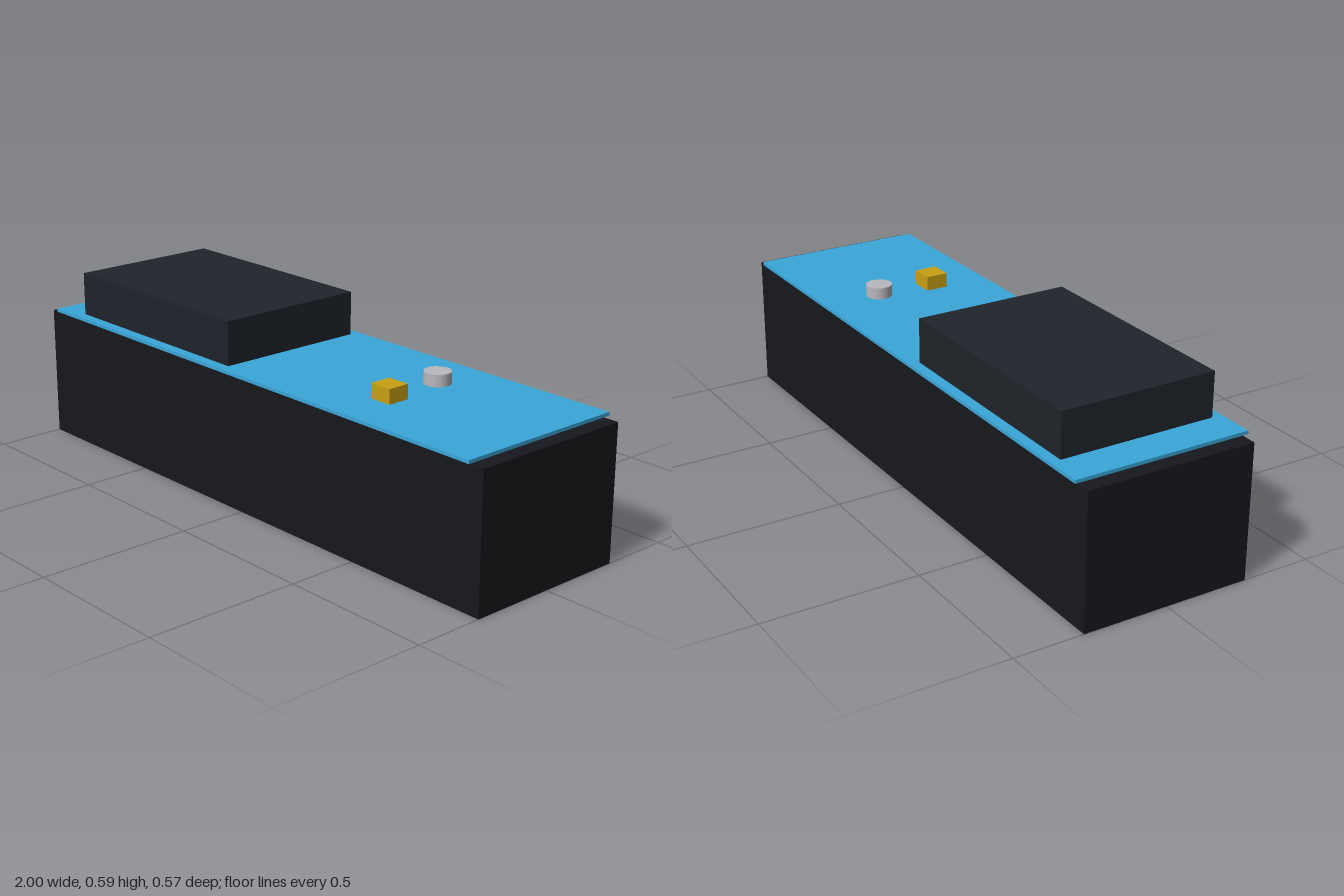
import * as THREE from 'three';

function addPart(group, name, geometry, color, x, y, z) {
  const mesh = new THREE.Mesh(geometry, new THREE.MeshStandardMaterial({ color }));
  mesh.name = name;
  mesh.position.set(x, y, z);
  group.add(mesh);
}

// Box given by its size, bottom height and centre in x and z
function addBox(group, name, [w, h, d], color, x, bottom, z) {
  addPart(group, name, new THREE.BoxGeometry(w, h, d), color, x, bottom + h / 2, z);
}

export function createModel() {
  const model = new THREE.Group();
  model.name = 'enclosure';

  // Long dark case
  addBox(model, 'caseBody', [2, 0.433, 0.55], 0x17181d, 0, 0, 0);

  // Thin blue plate floating just above the case
  addBox(model, 'topPlate', [1.916, 0.011, 0.574], 0x3ba7d9, 0, 0.438, 0);

  // Raised block through the plate
  addBox(model, 'raisedBlock', [0.76, 0.157, 0.508], 0x1f242b, -0.46, 0.434, 0);

  // Yellow terminal and round metal button
  addBox(model, 'terminalBlock', [0.076, 0.048, 0.074], 0xc9a013, 0.465, 0.448, 0.099);
  addPart(model, 'roundButton', new THREE.CylinderGeometry(0.0425, 0.0425, 0.038, 32),
    0xb8b9bf, 0.465, 0.473, -0.098);

  return model;
}
